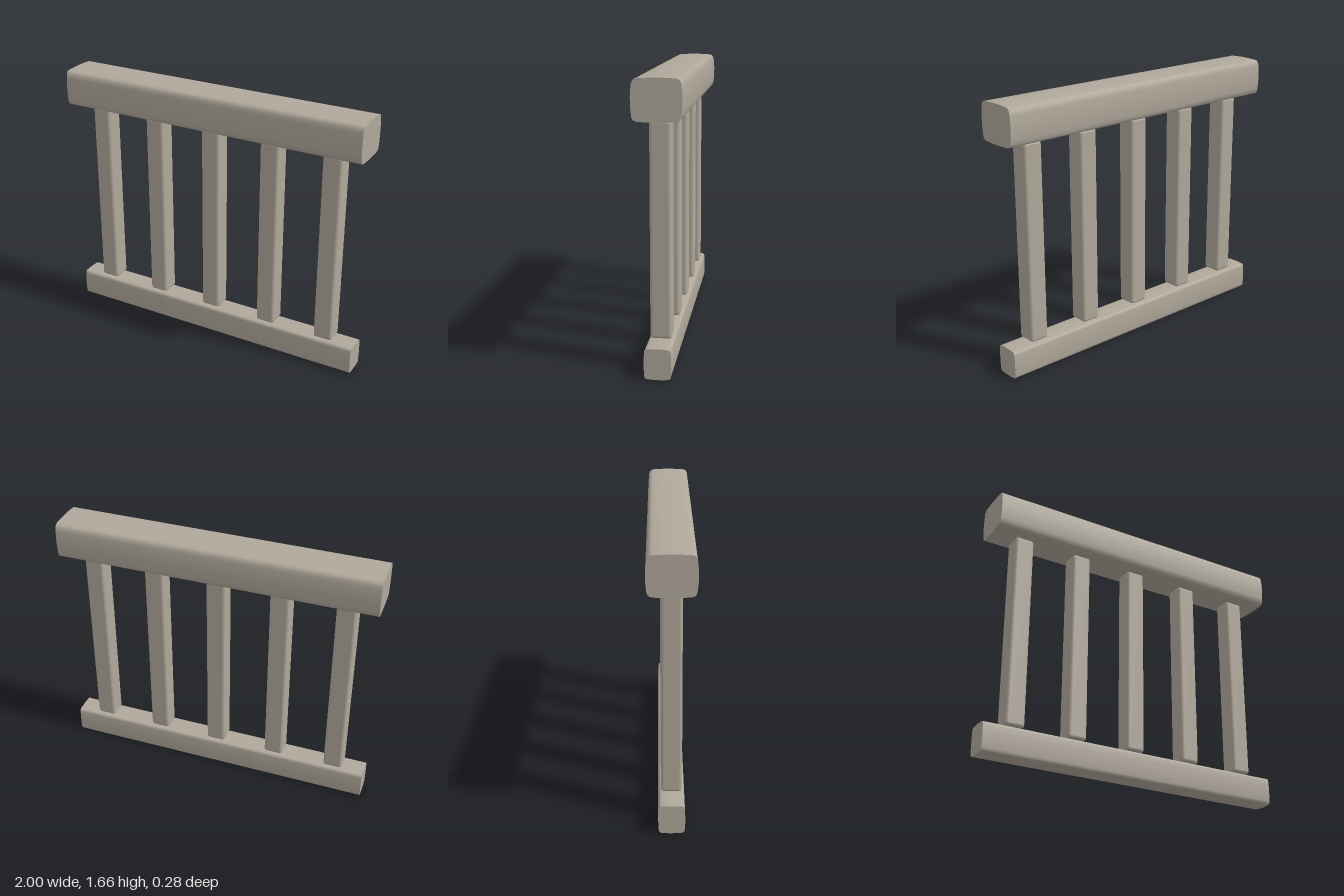
import * as THREE from 'three';
import { toCreasedNormals } from 'three/addons/utils/BufferGeometryUtils.js';
import { RoundedBoxGeometry } from 'three/addons/geometries/RoundedBoxGeometry.js';

const stone = new THREE.MeshStandardMaterial({ color: 0xb0a89b });
stone.name = 'stone';

// Beam along x with softly worn long edges and flat ends
function rail(name, yMin, yMax, halfDepth, cutZ, cutY, bulge) {
  const h = (yMax - yMin) / 2, d = halfDepth;
  const s = new THREE.Shape();
  s.moveTo(-d + cutZ, -h + bulge);
  s.quadraticCurveTo(0, -h - bulge, d - cutZ, -h + bulge);
  s.quadraticCurveTo(d - bulge, -h + bulge, d - bulge, -h + cutY);
  s.quadraticCurveTo(d + bulge, 0, d - bulge, h - cutY);
  s.quadraticCurveTo(d - bulge, h - bulge, d - cutZ, h - bulge);
  s.quadraticCurveTo(0, h + bulge, -d + cutZ, h - bulge);
  s.quadraticCurveTo(-d + bulge, h - bulge, -d + bulge, h - cutY);
  s.quadraticCurveTo(-d - bulge, 0, -d + bulge, -h + cutY);
  s.quadraticCurveTo(-d + bulge, -h + bulge, -d + cutZ, -h + bulge);
  const geo = new THREE.ExtrudeGeometry(s, { depth: 2, bevelEnabled: false, curveSegments: 3 });
  geo.translate(0, 0, -1).rotateY(Math.PI / 2);
  const mesh = new THREE.Mesh(toCreasedNormals(geo, 0.8), stone);
  mesh.name = name;
  mesh.position.y = (yMin + yMax) / 2;
  return mesh;
}

export function createModel() {
  const group = new THREE.Group();
  group.name = 'balustrade';

  group.add(rail('topRail', 1.425, 1.66, 0.138, 0.036, 0.05, 0.004));
  group.add(rail('bottomRail', 0, 0.18, 0.077, 0.02, 0.024, 0.003));

  // Square posts, just clear of both rails
  const postGeo = new RoundedBoxGeometry(0.122, 1.232, 0.122, 2, 0.018);
  for (let i = -2; i <= 2; i++) {
    const post = new THREE.Mesh(postGeo, stone);
    post.name = `post${i + 3}`;
    post.position.set(i * 0.4, 0.803, 0);
    group.add(post);
  }
  return group;
}
